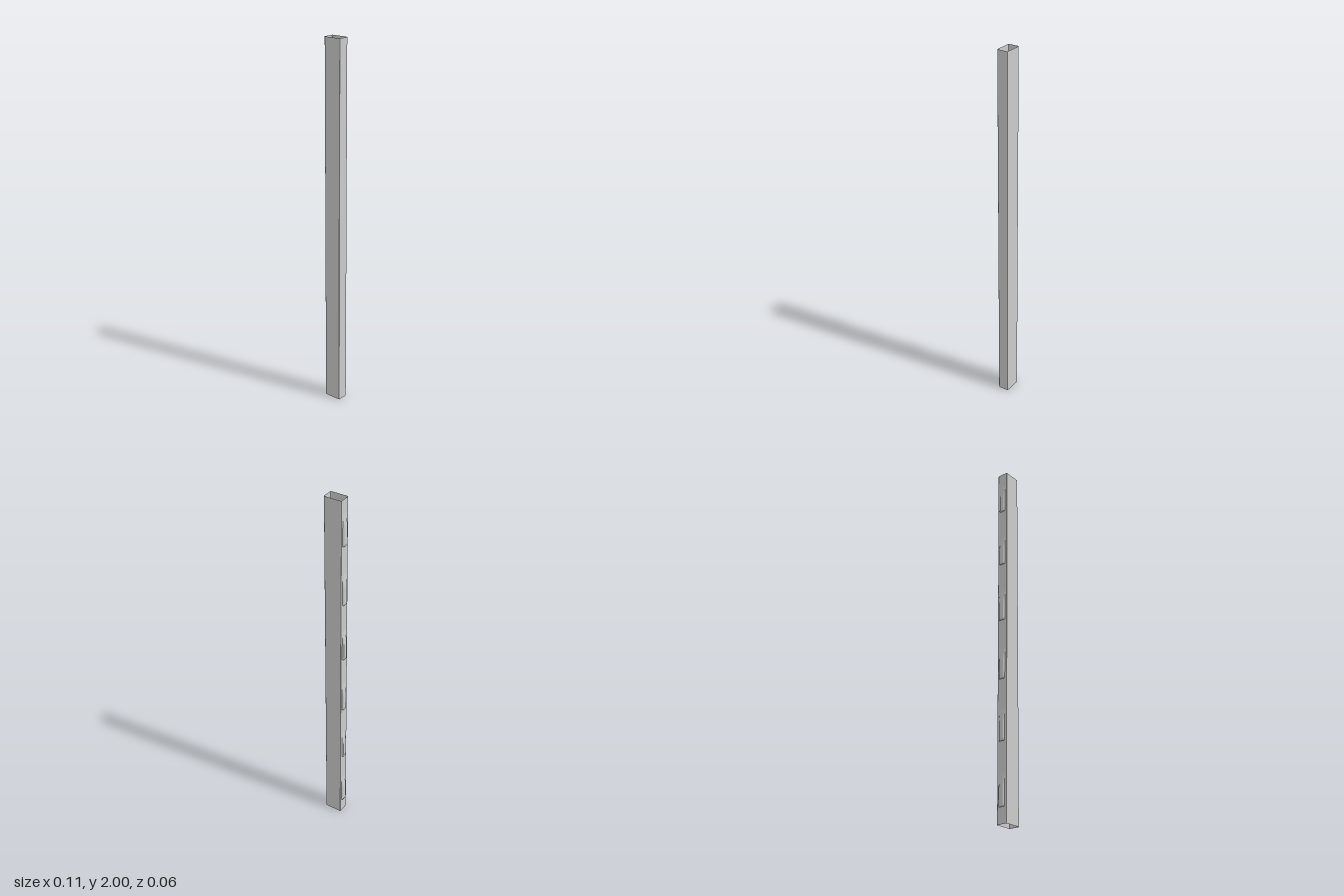
import * as THREE from 'three';

const material = new THREE.MeshStandardMaterial({ color: 0xcccccc, side: THREE.DoubleSide });
const X0 = -0.046, X1 = 0.052, HALF_Z = 0.03, HEIGHT = 2;

// Thin open-ended rectangular tube with small rounded corners
function tubeGeometry(radius) {
  const corners = [
    [X1 - radius, HALF_Z - radius], [X0 + radius, HALF_Z - radius],
    [X0 + radius, -HALF_Z + radius], [X1 - radius, -HALF_Z + radius],
  ];
  const ring = [];
  corners.forEach(([cx, cz], c) => {
    for (let k = 0; k <= 3; k++) {
      const a = (c + k / 3) * Math.PI / 2;
      ring.push([cx + radius * Math.cos(a), cz + radius * Math.sin(a)]);
    }
  });
  const n = ring.length, positions = [], index = [];
  for (const y of [0, HEIGHT]) ring.forEach(([x, z]) => positions.push(x, y, z));
  for (let i = 0; i < n; i++) {
    const j = (i + 1) % n;
    index.push(i, i + n, j, j, i + n, j + n);
  }
  const geometry = new THREE.BufferGeometry();
  geometry.setAttribute('position', new THREE.Float32BufferAttribute(positions, 3));
  geometry.setIndex(index);
  geometry.computeVertexNormals();
  return geometry;
}

// Pressed louvre: slopes out from the top, nearly square at the bottom
function louvreGeometry() {
  const width = 0.035, height = 0.17, depth = 0.008;
  const geometry = new THREE.PlaneGeometry(width, height, 10, 20).rotateY(-Math.PI / 2);
  const p = geometry.attributes.position;
  for (let i = 0; i < p.count; i++) {
    const t = p.getY(i) / height + 0.5;
    const s = Math.abs(p.getZ(i)) / (width / 2);
    const rise = t < 0.01 ? 0 : THREE.MathUtils.smoothstep(1 - t, -0.1, 0.5);
    const across = Math.sqrt(Math.max(0, 1 - s ** 6));
    const edge = t > 0.99 ? 0 : 1;
    p.setX(i, -depth * rise * across * edge);
    if (t < 0.06) p.setY(i, -height / 2);
  }
  geometry.computeVertexNormals();
  return geometry;
}

export function createModel() {
  const group = new THREE.Group();
  group.name = 'slottedPost';

  const post = new THREE.Mesh(tubeGeometry(0.004), material);
  post.name = 'post';
  group.add(post);

  // Six evenly spaced louvres down the narrow side
  const louvre = louvreGeometry();
  for (let i = 0; i < 6; i++) {
    const mesh = new THREE.Mesh(louvre, material);
    mesh.name = `louvre${i + 1}`;
    mesh.position.set(X0, 0.17 + i * 0.334, 0);
    group.add(mesh);
  }
  return group;
}
